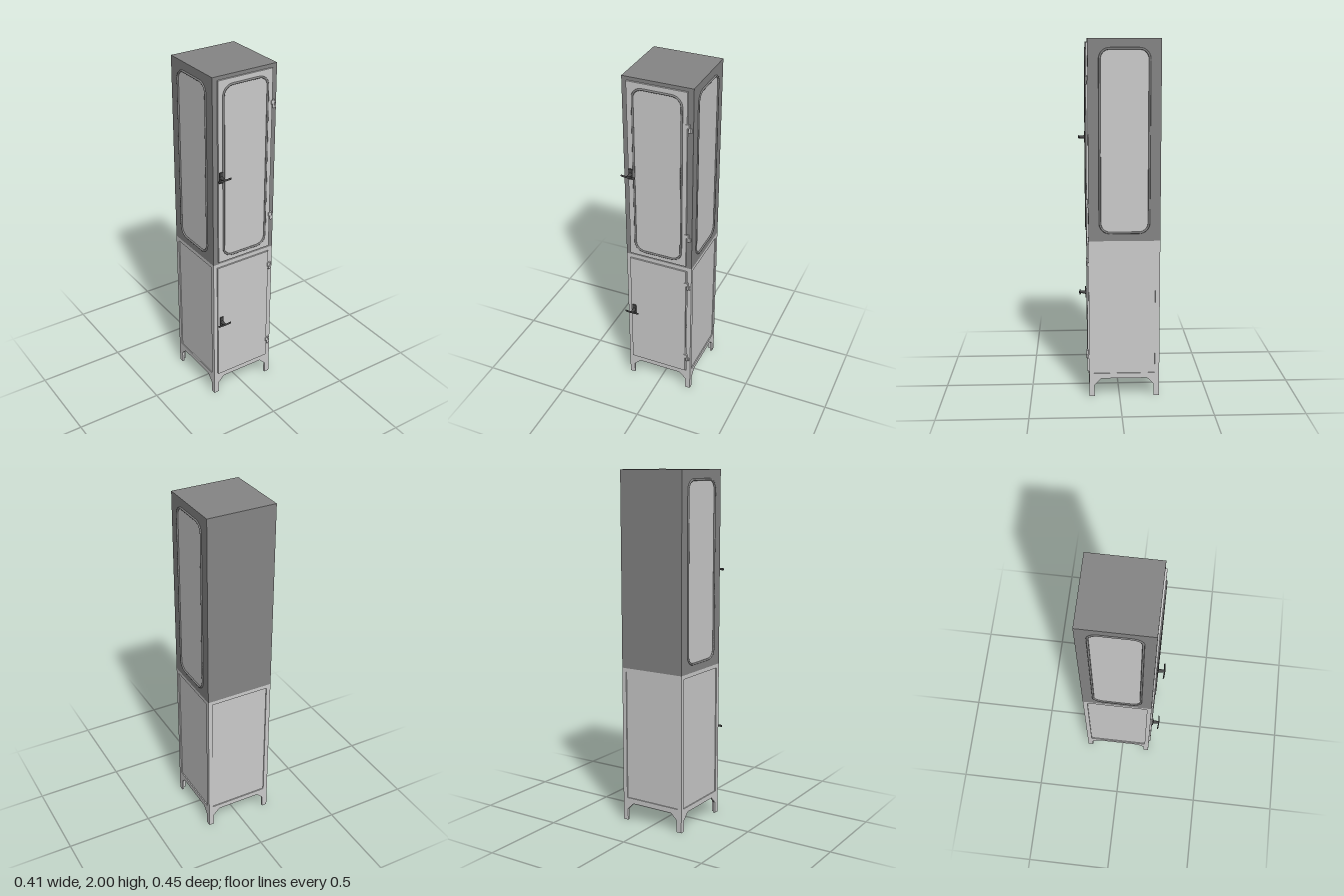
import * as THREE from 'three';

const HALF = 0.1985, ZC = -0.027;
const mat = (color, side = THREE.FrontSide) => new THREE.MeshStandardMaterial({ color, side });
const light = mat(0xcccccc), dark = mat(0x858585), pane = mat(0xbcbcbc, THREE.DoubleSide), black = mat(0x484848);

function add(parent, name, geometry, material, x = 0, y = 0, z = 0) {
  const m = new THREE.Mesh(geometry, material);
  m.name = name;
  m.position.set(x, y, z);
  parent.add(m);
  return m;
}

const box = (w, h, d) => new THREE.BoxGeometry(w, h, d);

// Rounded rectangle traced on a Shape or Path
function rounded(p, w, y0, y1, r) {
  const a = w / 2;
  p.moveTo(-a + r, y0);
  p.lineTo(a - r, y0);
  p.absarc(a - r, y0 + r, r, -Math.PI / 2, 0);
  p.lineTo(a, y1 - r);
  p.absarc(a - r, y1 - r, r, 0, Math.PI / 2);
  p.lineTo(-a + r, y1);
  p.absarc(-a + r, y1 - r, r, Math.PI / 2, Math.PI);
  p.lineTo(-a, y0 + r);
  p.absarc(-a + r, y0 + r, r, Math.PI, Math.PI * 1.5);
  return p;
}

const rect = (x0, x1, y0, y1) => [[x0, y0], [x1, y0], [x1, y1], [x0, y1]].map(p => new THREE.Vector2(...p));

// Flat plate with its outer face at z = front
function plate(shape, depth, front) {
  const g = new THREE.ExtrudeGeometry(shape, { depth, bevelEnabled: false, curveSegments: 8 });
  return g.translate(0, 0, front - depth);
}

// Wall or door with a round-cornered window, glass and rubber seal
function windowed(parent, name, outline, thickness, front, width, material) {
  const y0 = 0.948, y1 = 1.947, r = 0.055;
  const shape = new THREE.Shape(outline);
  shape.holes.push(rounded(new THREE.Path(), width, y0, y1, r));
  add(parent, name, plate(shape, thickness, front), material);
  add(parent, name + 'Glass', new THREE.ShapeGeometry(rounded(new THREE.Shape(), width, y0, y1, r), 8),
    pane, 0, 0, front - 0.002);
  const pts = rounded(new THREE.Path(), width, y0, y1, r).getPoints(8)
    .map(p => new THREE.Vector3(p.x, p.y, front));
  const path = new THREE.CurvePath();
  pts.forEach((p, i) => {
    const q = pts[(i + 1) % pts.length];
    if (p.distanceTo(q) > 1e-5) path.add(new THREE.LineCurve3(p, q));
  });
  // Evenly dense points keep the seal's corners round
  const loop = new THREE.CatmullRomCurve3(path.getSpacedPoints(240).slice(0, -1), true);
  add(parent, name + 'Seal', new THREE.TubeGeometry(loop, 240, 0.006, 8, true), dark);
}

function side(parent, name, k) {
  const g = new THREE.Group();
  g.name = name;
  g.rotation.y = k * Math.PI / 2;
  g.position.z = ZC;
  parent.add(g);
  return g;
}

// T-shaped latch handle on a small mounting plate
function handle(name, y) {
  const g = new THREE.Group();
  g.name = name;
  add(g, 'handlePlate', box(0.022, 0.064, 0.006), black, 0, 0, 0.185);
  const stem = add(g, 'handleStem', new THREE.CylinderGeometry(0.0075, 0.01, 0.036, 12), black, 0, 0, 0.202);
  stem.rotation.x = Math.PI / 2;
  const curve = new THREE.QuadraticBezierCurve3(new THREE.Vector3(-0.039, 0, 0.218),
    new THREE.Vector3(0, 0, 0.224), new THREE.Vector3(0.039, 0, 0.218));
  const grip = add(g, 'handleGrip', new THREE.TubeGeometry(curve, 16, 0.0035, 8), black);
  grip.scale.y = 1.8;
  for (const p of [curve.v0, curve.v2])
    add(g, 'gripEnd', new THREE.SphereGeometry(0.0035, 10, 8), black, p.x, 0, p.z).scale.y = 1.8;
  g.position.set(-0.155, y, 0);
  return g;
}

function hinge(name, y) {
  const g = new THREE.Group();
  g.name = name;
  add(g, 'hingePin', new THREE.CylinderGeometry(0.006, 0.006, 0.046, 12), light, 0.178, 0, 0.179);
  add(g, 'doorLeaf', box(0.02, 0.022, 0.006), light, 0.17, 0.012, 0.182);
  add(g, 'frameLeaf', box(0.018, 0.022, 0.006), light, 0.184, -0.012, 0.176);
  g.position.y = y;
  return g;
}

export function createModel() {
  const model = new THREE.Group();
  model.name = 'cabinet';

  // Upper cabinet: roof, floor, back, windowed sides and front frame
  const upper = new THREE.Group();
  upper.name = 'upperCabinet';
  model.add(upper);
  const W = HALF * 2, T = 0.012, wall = rect(-HALF, HALF, 0.902, 2);
  add(upper, 'roof', box(W, T, W), dark, 0, 2 - T / 2, ZC);
  add(upper, 'upperFloor', box(W, T, W), dark, 0, 0.902 + T / 2, ZC);
  add(side(upper, 'upperBack', 2), 'backWall', plate(new THREE.Shape(wall), T, HALF), dark);
  windowed(side(upper, 'leftSide', 1), 'leftWall', wall, T, HALF, 0.27, dark);
  windowed(side(upper, 'rightSide', -1), 'rightWall', wall, T, HALF, 0.27, dark);
  const frontFrame = new THREE.Shape(wall);
  frontFrame.holes.push(new THREE.Path(rect(-0.16, 0.16, 0.93, 1.97)));
  const front = side(upper, 'upperFront', 0);
  add(front, 'frontFrame', plate(frontFrame, T, HALF), dark);
  windowed(front, 'upperDoor', rect(-0.17, 0.167, 0.918, 1.98), 0.012, 0.208, 0.274, light);

  // Lower cabinet: four framed sides whose corners run down into feet
  const lower = new THREE.Group();
  lower.name = 'lowerCabinet';
  model.add(lower);
  const foot = 0.168, knee = 0.13;
  const outline = [[-HALF, 0], [-foot, 0], [-foot, 0.067], [-knee, 0.105], [knee, 0.105], [foot, 0.067],
    [foot, 0], [HALF, 0], [HALF, 0.902], [-HALF, 0.902]].map(p => new THREE.Vector2(...p));
  ['lowerFront', 'lowerLeft', 'lowerBack', 'lowerRight'].forEach((name, k) => {
    const g = side(lower, name, k);
    const frame = new THREE.Shape(outline);
    frame.holes.push(new THREE.Path(rect(-0.173, 0.173, 0.135, 0.88)));
    add(g, 'frame', plate(frame, T, HALF), light);
    if (k === 0) add(g, 'lowerDoor', box(0.343, 0.74, 0.014), pane, -0.004, 0.51, 0.2);
    else add(g, 'recessedPanel', box(0.35, 0.75, 0.004), light, 0, 0.507, HALF - 0.008);
  });
  add(lower, 'bottomPlate', box(W - 0.02, 0.008, W - 0.02), light, 0, 0.112, ZC);

  // Door hardware
  model.add(handle('upperHandle', 1.44), handle('lowerHandle', 0.515));
  [1.78, 1.11, 0.78, 0.245].forEach((y, i) => model.add(hinge('hinge' + (i + 1), y)));
  return model;
}
